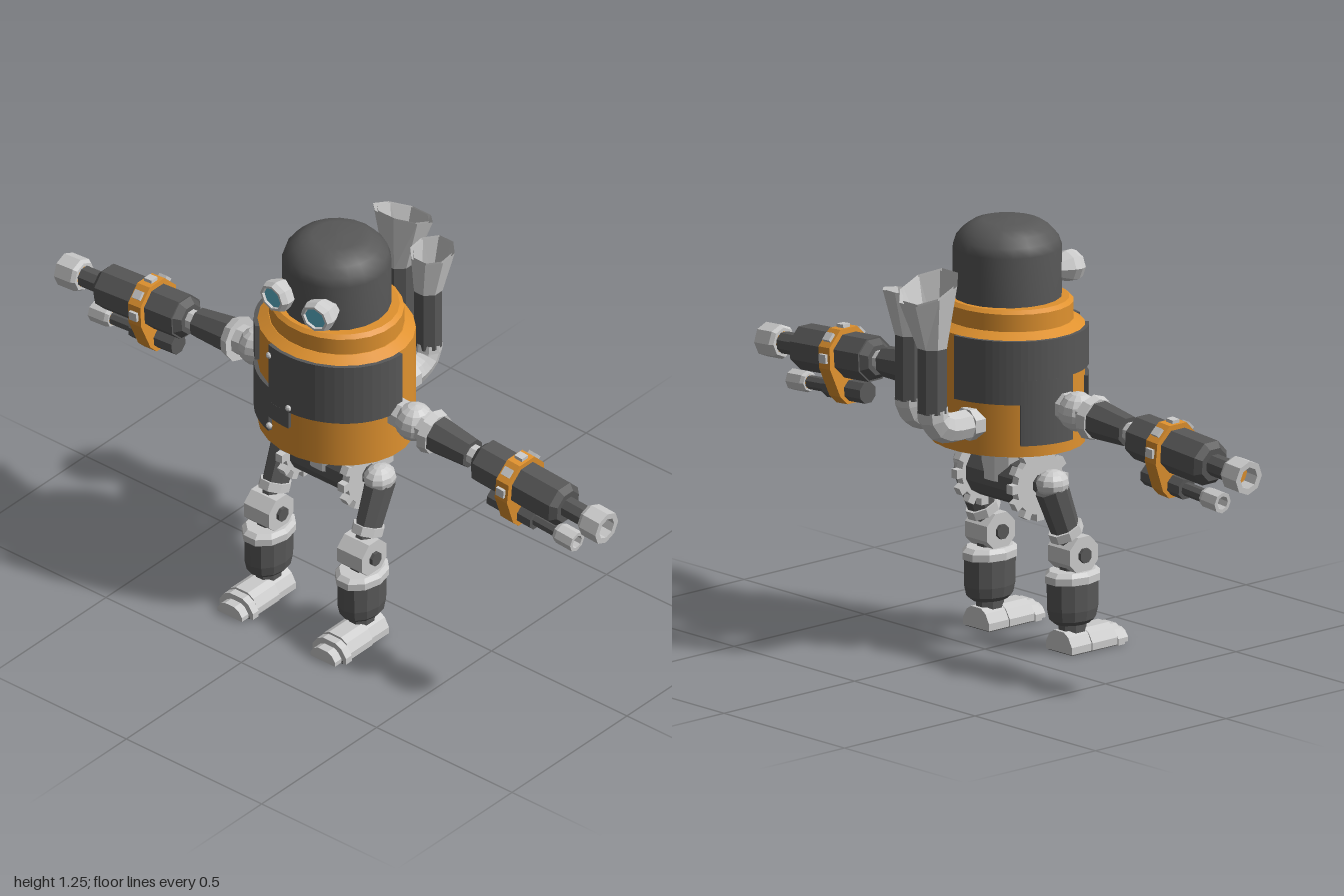
import * as THREE from 'three';

const mat = (color, opts = {}) => new THREE.MeshStandardMaterial({ color, ...opts });
const light = mat(0xcccccc, { flatShading: true });
const lightOpen = mat(0xcccccc, { flatShading: true, side: THREE.DoubleSide });
const dark = mat(0x585858, { flatShading: true });
const darkSmooth = mat(0x585858);
const orange = mat(0xe0922f, { flatShading: true });
const orangeSmooth = mat(0xe0922f);
const blue = mat(0x5fb8d0, { flatShading: true });

function add(parent, name, geo, material, x = 0, y = 0, z = 0) {
  const m = new THREE.Mesh(geo, material);
  m.name = name;
  m.position.set(x, y, z);
  parent.add(m);
  return m;
}

// Cylinder between two values along an axis; a is the radius at the start, b at the end
function cyl(axis, from, to, a, b = a, seg = 8, open = false) {
  const g = new THREE.CylinderGeometry(b, a, to - from, seg, 1, open);
  g.rotateY(Math.PI / seg);
  g.translate(0, (from + to) / 2, 0);
  if (axis === 'x') g.rotateZ(-Math.PI / 2);
  if (axis === 'z') g.rotateX(Math.PI / 2);
  return g;
}

function lathe(points, seg) {
  return new THREE.LatheGeometry(points.map(p => new THREE.Vector2(...p)), seg);
}

// Open muzzle with a wall, along x
function muzzle(from, to, r, hole) {
  const g = lathe([[hole, from], [r * 0.85, from], [r, from + 0.012], [r, to], [hole, to], [hole, from]], 8);
  return g.rotateZ(-Math.PI / 2);
}

// Curved armour plate; angles in degrees from the front towards +x
function plate(a0, a1, y0, y1) {
  const s = new THREE.Shape();
  const t = a => THREE.MathUtils.degToRad(a - 90);
  s.absarc(0, 0, 0.243, t(a0), t(a1), false);
  s.absarc(0, 0, 0.222, t(a1), t(a0), true);
  const g = new THREE.ExtrudeGeometry(s, { depth: y1 - y0, bevelEnabled: false, curveSegments: 8 });
  return g.rotateX(-Math.PI / 2).translate(0, y0, 0);
}

function buildTorso() {
  const g = new THREE.Group();
  g.name = 'torso';
  g.position.z = 0.085;
  g.scale.z = 0.905;
  add(g, 'bodyShell', cyl('y', 0.605, 0.945, 0.232, 0.232, 24), orangeSmooth);
  add(g, 'bodyTop', cyl('y', 0.945, 0.962, 0.232, 0.2, 24), orangeSmooth);
  add(g, 'neckRing', cyl('y', 0.96, 1.012, 0.198, 0.198, 24), orangeSmooth);
  add(g, 'neckRingBevel', cyl('y', 1.012, 1.022, 0.198, 0.185, 24), orangeSmooth);
  add(g, 'waistDisc', cyl('y', 0.583, 0.605, 0.15, 0.15, 16), light);
  // armour plates
  [[-18, 90, 0.755, 0.945], [-55, -18, 0.65, 0.8], [-18, 2, 0.7, 0.755],
    [-96, -42, 0.83, 0.945], [-176, -96, 0.76, 0.945], [-126, -82, 0.64, 0.83]]
    .forEach(p => add(g, 'armourPlate', plate(...p), dark));
  [[2, 0.77], [-17, 0.91], [-17, 0.67]].forEach(([a, y]) => {
    const t = THREE.MathUtils.degToRad(a);
    add(g, 'rivet', new THREE.SphereGeometry(0.01, 8, 6), light, 0.243 * Math.sin(t), y, 0.243 * Math.cos(t));
  });
  return g;
}

function buildHead() {
  const g = new THREE.Group();
  g.name = 'head';
  g.position.z = 0.085;
  const dome = lathe([[0.155, 1.01], [0.155, 1.165], [0.146, 1.192], [0.125, 1.216], [0.1, 1.233], [0.07, 1.242], [0, 1.245]], 20);
  add(g, 'dome', dome, darkSmooth);
  for (const s of [-1, 1]) {
    const eye = new THREE.Group();
    eye.name = 'eye';
    eye.position.set(s * 0.07, 1.09, 0.1);
    eye.rotation.y = s * 0.1;
    eye.scale.y = 0.88;
    const rim = lathe([[0.02, -0.02], [0.051, 0.055], [0.053, 0.075], [0.045, 0.092], [0.037, 0.092], [0.035, 0.08]], 8);
    add(eye, 'eyeRim', rim.rotateX(Math.PI / 2), lightOpen);
    add(eye, 'lens', cyl('z', 0.06, 0.084, 0.038), blue);
    g.add(eye);
  }
  return g;
}

function buildPelvis() {
  const g = new THREE.Group();
  g.name = 'pelvis';
  g.position.set(0, 0.49, 0.095);
  add(g, 'waistPost', cyl('y', 0, 0.1, 0.08, 0.08, 12), light);
  add(g, 'pelvisDrum', cyl('x', -0.11, 0.11, 0.075, 0.075, 12), dark);
  for (const s of [-1, 1]) {
    add(g, 'gear', cyl('x', -0.012, 0.012, 0.088, 0.088, 24), light, s * 0.115);
    add(g, 'hipAxle', cyl('x', -0.03, 0.03, 0.03), dark, s * 0.14);
    for (let i = 0; i < 12; i++) {
      const t = (i / 12) * Math.PI * 2;
      const tooth = add(g, 'gearTooth', new THREE.BoxGeometry(0.024, 0.03, 0.026), light,
        s * 0.115, 0.092 * Math.cos(t), 0.092 * Math.sin(t));
      tooth.rotation.x = t;
    }
  }
  return g;
}

function buildLeg(side) {
  const g = new THREE.Group();
  g.name = side > 0 ? 'leftLeg' : 'rightLeg';
  g.position.x = 0.172 * side;
  g.scale.x = side;
  add(g, 'hipBall', new THREE.SphereGeometry(0.047, 10, 8), light, 0, 0.5, 0.1).scale.set(0.95, 0.85, 1.1);
  // tilted thigh
  const thigh = new THREE.Group();
  thigh.name = 'thigh';
  thigh.position.set(0, 0.49, 0.095);
  thigh.rotation.x = -0.39;
  thigh.scale.x = 0.78;
  add(thigh, 'thighTube', cyl('y', -0.14, 0, 0.046, 0.053), dark);
  add(thigh, 'thighCollar', cyl('y', -0.162, -0.135, 0.055), light);
  add(thigh, 'kneeLink', cyl('y', -0.21, -0.16, 0.036), dark);
  g.add(thigh);
  // knee
  add(g, 'kneeDisc', cyl('x', -0.046, 0.046, 0.058), light, 0, 0.285, 0.178);
  add(g, 'kneePin', cyl('x', -0.056, 0.056, 0.022), dark, 0, 0.285, 0.178);
  add(g, 'shinPost', cyl('y', 0.22, 0.27, 0.038), dark, 0, 0, 0.176);
  // shin
  const shin = new THREE.Group();
  shin.name = 'shin';
  shin.position.z = 0.177;
  shin.scale.x = 0.76;
  add(shin, 'shinCollar', cyl('y', 0.205, 0.226, 0.09, 0.09, 10), light);
  add(shin, 'shinCollarTop', cyl('y', 0.226, 0.238, 0.09, 0.076, 10), light);
  add(shin, 'shinShell', lathe([[0, 0.08], [0.058, 0.082], [0.074, 0.095], [0.081, 0.125], [0.082, 0.205], [0, 0.207]], 12), dark);
  add(shin, 'ankle', cyl('y', 0.05, 0.085, 0.045), dark);
  g.add(shin);
  // arched foot with a lower toe cap
  const arch = (w, h, z0, z1, y0) => {
    const s = new THREE.Shape([[-1, 0], [1, 0], [1, 0.35], [0.72, 0.8], [0.38, 1], [-0.38, 1], [-0.72, 0.8], [-1, 0.35]]
      .map(([x, y]) => new THREE.Vector2(x * w, y0 + y * h)));
    return new THREE.ExtrudeGeometry(s, { depth: z1 - z0, bevelEnabled: false }).translate(0, 0, z0);
  };
  add(g, 'heel', arch(0.054, 0.06, 0.124, 0.2, 0.004), light);
  add(g, 'foot', arch(0.058, 0.059, 0.2, 0.295, 0.005), light);
  add(g, 'toeRing', arch(0.062, 0.055, 0.295, 0.32, 0.002), light);
  add(g, 'toe', arch(0.045, 0.038, 0.32, 0.348, 0.002), light);
  add(g, 'sole', new THREE.BoxGeometry(0.1, 0.008, 0.19), dark, 0, 0.004, 0.225);
  return g;
}

function buildArm(side) {
  const g = new THREE.Group();
  g.name = side > 0 ? 'leftArm' : 'rightArm';
  g.position.set(0.29 * side, 0.737, 0.088);
  g.rotation.z = -0.072 * side;
  g.scale.x = side;
  add(g, 'shoulderSocket', cyl('x', -0.08, 0, 0.045), light);
  add(g, 'shoulderBall', new THREE.SphereGeometry(0.057, 12, 8), light);
  add(g, 'shoulderCollar', cyl('x', 0.062, 0.088, 0.067, 0.06, 10), light);
  add(g, 'shoulderLink', cyl('x', 0.03, 0.07, 0.045), light);
  add(g, 'upperArm', cyl('x', 0.085, 0.215, 0.056, 0.044), dark);
  add(g, 'elbow', cyl('x', 0.21, 0.25, 0.03), light);
  add(g, 'forearmBase', cyl('x', 0.245, 0.265, 0.045, 0.062), dark);
  add(g, 'forearm', cyl('x', 0.265, 0.55, 0.067), dark);
  add(g, 'forearmEnd', cyl('x', 0.55, 0.568, 0.067, 0.05), dark);
  add(g, 'barrel', cyl('x', 0.56, 0.645, 0.032), dark);
  add(g, 'muzzle', muzzle(0.64, 0.712, 0.05, 0.032), lightOpen);
  add(g, 'muzzleCore', cyl('x', 0.64, 0.67, 0.033), orange);
  // secondary barrel below
  add(g, 'lowerBarrelBody', cyl('x', 0.3, 0.46, 0.032), dark, 0, -0.102);
  add(g, 'lowerBarrel', cyl('x', 0.45, 0.55, 0.02), dark, 0, -0.102);
  add(g, 'lowerMuzzle', muzzle(0.54, 0.61, 0.031, 0.02), lightOpen, 0, -0.102);
  add(g, 'lowerMuzzleCore', cyl('x', 0.54, 0.575, 0.021), orange, 0, -0.102);
  // clamp around both barrels
  const half = [[0.032, 0.077], [0.077, 0.032], [0.079, -0.03], [0.045, -0.115], [0.02, -0.14]];
  const outline = [...half, ...half.map(([x, y]) => [-x, y]).reverse()];
  const clamp = new THREE.ExtrudeGeometry(new THREE.Shape(outline.map(p => new THREE.Vector2(...p))),
    { depth: 0.046, bevelEnabled: false });
  add(g, 'clamp', clamp.rotateY(Math.PI / 2), orange, 0.366);
  [0, 45, 90, 270, 315].forEach(d => {
    const t = THREE.MathUtils.degToRad(d);
    const b = add(g, 'clampBolt', new THREE.BoxGeometry(0.028, 0.022, 0.026), light,
      0.389, 0.076 * Math.cos(t), 0.076 * Math.sin(t));
    b.rotation.x = t;
  });
  return g;
}

// Exhaust pipe: light elbow, dark riser and a flared open funnel cut on a slant
function buildExhaust(x, z, r, rim, rimX, rimY, rimZ, slope) {
  const g = new THREE.Group();
  g.name = 'exhaust';
  const elbow = new THREE.CatmullRomCurve3([[x, 0.695, -0.06], [x, 0.695, -0.14], [x, 0.7, z + 0.045], [x, 0.725, z + 0.008], [x, 0.765, z]]
    .map(p => new THREE.Vector3(...p)));
  add(g, 'exhaustElbow', new THREE.TubeGeometry(elbow, 8, r, 8), lightOpen);
  add(g, 'exhaustFlange', cyl('z', -0.135, -0.085, r * 1.1), light, x, 0.695);
  add(g, 'exhaustRiser', cyl('y', 0.755, 0.95, r), dark, x, 0, z);
  const cone = (name, scale, material) => {
    const h = rimY - 0.945;
    const geo = cyl('y', 0, h, r * scale, rim * scale, 8, true);
    const p = geo.attributes.position;
    for (let i = 0; i < p.count; i++) {
      const k = p.getY(i) / h;
      p.setXYZ(i, p.getX(i) + k * (rimX - x), p.getY(i) + k * slope * p.getZ(i), p.getZ(i) + k * (rimZ - z));
    }
    geo.computeVertexNormals();
    add(g, name, geo, material, x, 0.945, z);
  };
  cone('exhaustFunnel', 1.03, lightOpen);
  cone('exhaustFunnelLining', 0.9, lightOpen);
  return g;
}

export function createModel() {
  const robot = new THREE.Group();
  robot.name = 'robot';
  robot.add(buildTorso(), buildHead(), buildPelvis());
  for (const s of [1, -1]) robot.add(buildLeg(s), buildArm(s));
  robot.add(buildExhaust(0.085, -0.212, 0.042, 0.064, 0.092, 1.07, -0.223, -0.15));
  robot.add(buildExhaust(-0.065, -0.262, 0.044, 0.086, -0.05, 1.115, -0.262, 0.43));
  return robot;
}
